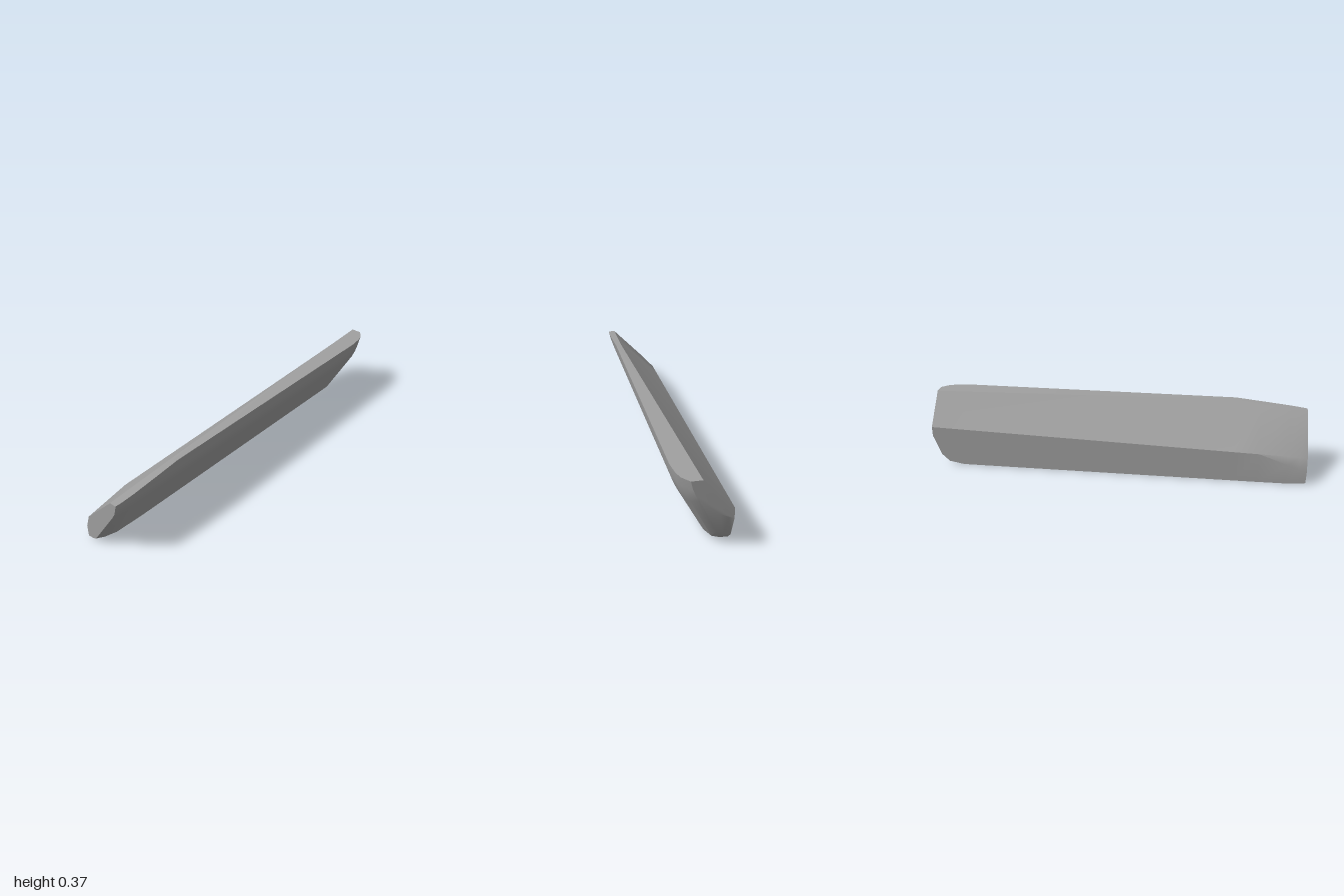
import * as THREE from 'three';
import { toCreasedNormals } from 'three/addons/utils/BufferGeometryUtils.js';

// Lower-right outline of each station: wall bottom, keel, rounded flank, top outer corner
const MID = [[-.125, 0], [-.08, .005], [-.035, .012], [.085, .233], [.105, .273], [.118, .312], [.125, .37]];
const FRONT = [[-.125, .01], [-.09, .013], [-.07, .023], [.08, .24], [.099, .272], [.109, .3], [.116, .33]];
const mix = (a, b, t) => a.map(([x, y], i) => [x + (b[i][0] - x) * t, y + (b[i][1] - y) * t]);

// Stations from front to back: z and lower outline
const stations = [
  [1, FRONT],
  [.96, mix(MID, FRONT, .5)],
  [.9, mix(MID, FRONT, .12)],
  [.75, MID],
  [.62, MID],
  [-.84, MID],
  [-.92, [[-.125, .015], [-.085, .018], [-.05, .03], [.078, .24], [.095, .28], [.106, .315], [.116, .37]]],
  [-.96, [[-.125, .055], [-.09, .06], [-.06, .08], [.06, .25], [.08, .29], [.09, .325], [.102, .37]]],
  [-1, [[-.125, .165], [-.1, .175], [-.06, .195], [.03, .27], [.048, .3], [.06, .33], [.07, .37]]],
];

// Close each outline with the top inner edge and the wall; the front corner is chamfered
function section([z, lower]) {
  const noseDrop = Math.max(0, (z - .62) / .38);
  const chamfer = Math.max(0, (z - .75) / .25);
  const topY = .37 - .04 * noseDrop;
  const topX = Math.min(.017 + (z + 1) * .0469, .093) - .013 * noseDrop;
  const wallY = .217 - (Math.min(z, .75) + 1) * .0297;
  const outline = lower.map(([x, y], i) => [x, i === 6 ? topY : y]);
  outline.push(
    [topX, topY],
    [-.125 + .025 * chamfer, wallY - .02 * chamfer],
    [-.125, wallY - .09 * chamfer],
  );
  return outline.map(([x, y]) => new THREE.Vector3(x, y, z));
}

function loft(loops) {
  const pos = [];
  const tri = (a, b, c) => {
    const area = b.clone().sub(a).cross(c.clone().sub(a)).length();
    if (area > 1e-8) for (const v of [a, b, c]) pos.push(v.x, v.y, v.z);
  };
  const n = loops[0].length;
  for (let s = 0; s < loops.length - 1; s++) {
    const a = loops[s], b = loops[s + 1];
    for (let i = 0; i < n; i++) {
      const j = (i + 1) % n;
      tri(a[i], b[i], b[j]);
      tri(a[i], b[j], a[j]);
    }
  }
  // End faces
  const front = loops[0], back = loops[loops.length - 1];
  for (let i = 1; i < n - 1; i++) {
    tri(front[0], front[i], front[i + 1]);
    tri(back[0], back[i + 1], back[i]);
  }
  const geo = new THREE.BufferGeometry();
  geo.setAttribute('position', new THREE.Float32BufferAttribute(pos, 3));
  return toCreasedNormals(geo, 0.65);
}

export function createModel() {
  const group = new THREE.Group();
  group.name = 'bevelledBar';
  const grey = new THREE.MeshStandardMaterial({ color: 0xa0a0a0 });
  grey.name = 'grey';
  // Single solid bar with a slanted section
  const body = new THREE.Mesh(loft(stations.map(section)), grey);
  body.name = 'body';
  group.add(body);
  return group;
}
